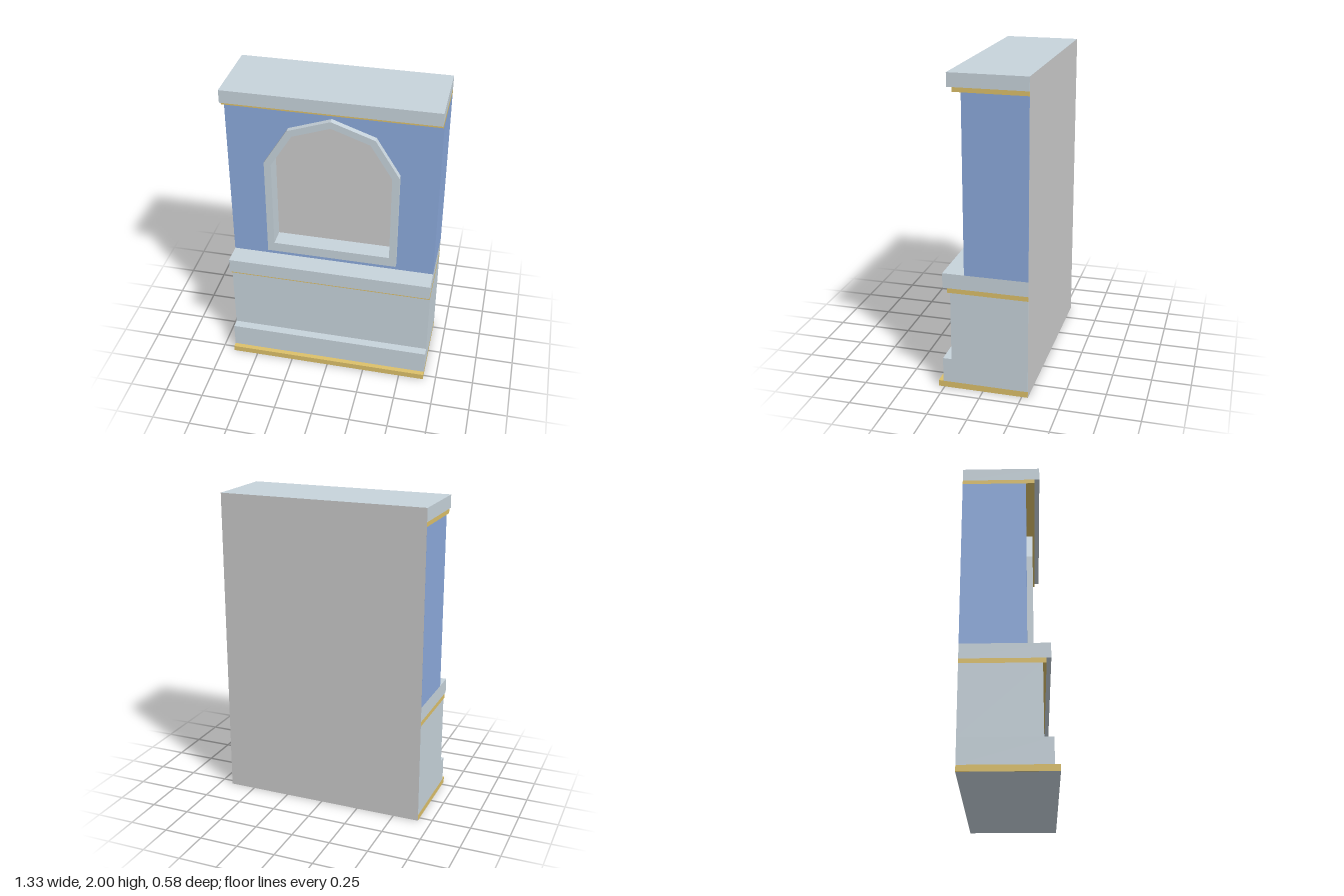
import * as THREE from 'three';

const WIDTH = 1.333;
const BACK = -0.288;

const material = (color) => new THREE.MeshStandardMaterial({ color, flatShading: true });

// Closed outline of a faceted arch, symmetric about x = 0
function archPoints(halfWidth, bottom, spring, shoulderX, shoulderY, peak) {
  return [
    [-halfWidth, bottom], [halfWidth, bottom], [halfWidth, spring], [shoulderX, shoulderY],
    [0, peak], [-shoulderX, shoulderY], [-halfWidth, spring],
  ].map(([x, y]) => new THREE.Vector2(x, y));
}

export function createModel() {
  const group = new THREE.Group();
  const stone = material(0xc7d3db);
  const gold = material(0xdcc06a);
  const blue = material(0x8caadc);
  const grey = material(0xcccccc);

  function add(name, geometry, mat, x = 0, y = 0, z = 0) {
    const mesh = new THREE.Mesh(geometry, mat);
    mesh.name = name;
    mesh.position.set(x, y, z);
    group.add(mesh);
    return mesh;
  }

  // Full-width courses: name, bottom, top, front depth, material
  const courses = [
    ['baseTrim', 0.001, 0.04, 0.288, gold],
    ['plinth', 0.04, 0.2, 0.256, stone],
    ['lowerWall', 0.2, 0.65, 0.2, stone],
    ['ledgeTrim', 0.65, 0.68, 0.22, gold],
    ['ledge', 0.68, 0.775, 0.248, stone],
    ['corniceTrim', 1.89, 1.917, 0.164, gold],
    ['cornice', 1.917, 2, 0.195, stone],
  ];
  for (const [name, bottom, top, front, mat] of courses) {
    const depth = front - BACK;
    add(name, new THREE.BoxGeometry(WIDTH, top - bottom, depth), mat,
      0, (bottom + top) / 2, (front + BACK) / 2);
  }

  const outer = archPoints(0.425, 0.825, 1.5, 0.272, 1.745, 1.84);
  const inner = archPoints(0.38, 0.89, 1.49, 0.242, 1.71, 1.795);

  // Upper wall with an arched opening
  const w = WIDTH / 2;
  const wallShape = new THREE.Shape([
    new THREE.Vector2(-w, 0.775), new THREE.Vector2(w, 0.775),
    new THREE.Vector2(w, 1.89), new THREE.Vector2(-w, 1.89),
  ]);
  wallShape.holes.push(new THREE.Path(outer));
  add('upperWall', new THREE.ExtrudeGeometry(wallShape, { depth: 0.11 - BACK, bevelEnabled: false }),
    blue, 0, 0, BACK);

  // Stone arch surround, lining the niche and standing proud of the wall
  const frameShape = new THREE.Shape(outer);
  frameShape.holes.push(new THREE.Path(inner));
  add('archFrame', new THREE.ExtrudeGeometry(frameShape, { depth: 0.12, bevelEnabled: false }),
    stone, 0, 0, 0.028);

  // Recessed niche panel
  add('nichePanel', new THREE.ShapeGeometry(new THREE.Shape(inner)), grey, 0, 0, 0.028);

  // Plain back and underside
  add('backPanel', new THREE.PlaneGeometry(WIDTH, 2), grey, 0, 1, BACK - 0.001).rotation.y = Math.PI;
  add('underside', new THREE.PlaneGeometry(WIDTH, 0.576), stone).rotation.x = Math.PI / 2;

  return group;
}
